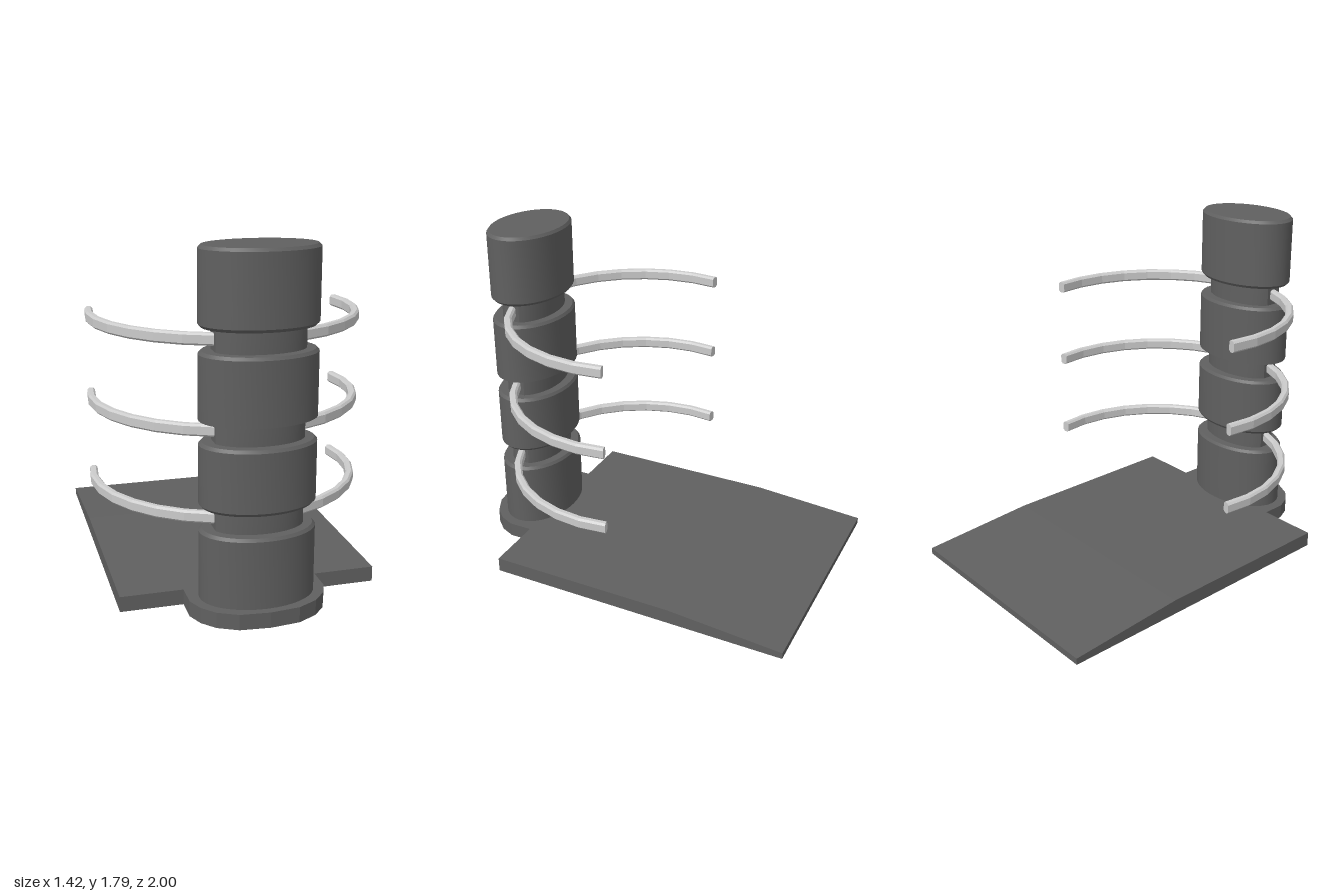
import * as THREE from 'three';
import { toCreasedNormals } from 'three/addons/utils/BufferGeometryUtils.js';

const COLUMN_Z = 0.765;
const dark = new THREE.MeshStandardMaterial({ color: 0x606060 });
const darkFlat = new THREE.MeshStandardMaterial({ color: 0x606060, flatShading: true });
const light = new THREE.MeshStandardMaterial({ color: 0xcccccc, flatShading: true, side: THREE.DoubleSide });

function add(parent, name, geometry, material) {
  const mesh = new THREE.Mesh(geometry, material);
  mesh.name = name;
  parent.add(mesh);
  return mesh;
}

const shapeOf = (points) => new THREE.Shape(points.map(([x, y]) => new THREE.Vector2(x, y)));

// Oval drum with bevelled rims
function drumGeometry(y0, y1, bottomBevel) {
  const r = 0.29, b = 0.015;
  const profile = [[0, y0]];
  if (bottomBevel) profile.push([r - b, y0], [r, y0 + b]);
  else profile.push([r, y0]);
  profile.push([r, y1 - b], [r - b, y1], [0, y1]);
  const geometry = new THREE.LatheGeometry(profile.map(([x, y]) => new THREE.Vector2(x, y)), 40);
  geometry.scale(1, 1, 0.195 / r);
  return toCreasedNormals(geometry, 0.5);
}

// Narrower oval neck with its two sides cut flat
function neckGeometry(y0, y1) {
  const geometry = new THREE.CylinderGeometry(1, 1, y1 - y0, 40);
  geometry.scale(0.232, 1, 0.138);
  const p = geometry.attributes.position;
  for (let i = 0; i < p.count; i++) p.setX(i, THREE.MathUtils.clamp(p.getX(i), -0.22, 0.22));
  geometry.translate(0, (y0 + y1) / 2, 0);
  return toCreasedNormals(geometry, 0.3);
}

// Curved arm: a bevelled bar swept along an arc, closed at both ends
function makeArm(name, startDegrees) {
  const arm = new THREE.Group();
  arm.name = name;
  const R = 0.69, w = 0.02, h = 0.03, c = 0.01;
  const section = [
    [R - w + c, -h], [R + w - c, -h], [R + w, -h + c], [R + w, h - c],
    [R + w - c, h], [R - w + c, h], [R - w, h - c], [R - w, -h + c],
  ];
  const start = THREE.MathUtils.degToRad(startDegrees);
  const sweep = THREE.MathUtils.degToRad(84);
  const loop = [...section, section[0]].map(([x, y]) => new THREE.Vector2(x, y));
  add(arm, 'armBar', new THREE.LatheGeometry(loop, 7, start, sweep), light);
  for (const angle of [start, start + sweep]) {
    add(arm, 'armEnd', new THREE.ShapeGeometry(shapeOf(section)), light).rotation.y = angle - Math.PI / 2;
  }
  return arm;
}

export function createModel() {
  const model = new THREE.Group();
  model.name = 'rackStand';

  // Base plate, thinning towards the back
  const width = 1.33;
  const plate = new THREE.ExtrudeGeometry(
    shapeOf([[-1, 0], [0.66, 0], [0.66, 0.08], [-0.37, 0.08], [-1, 0.035]]),
    { depth: width, bevelEnabled: false });
  plate.translate(0, 0, -width / 2);
  plate.rotateY(-Math.PI / 2);
  add(model, 'basePlate', plate, darkFlat);

  // Rounded foot in front of the plate, under the column
  const side = [[0.345, 0.66], [0.345, 0.79], [0.31, 0.87], [0.25, 0.935], [0.15, 0.985]];
  const outline = [...side, [0, 1], ...side.map(([x, z]) => [-x, z]).reverse()];
  const foot = new THREE.ExtrudeGeometry(shapeOf(outline.map(([x, z]) => [x, -z])),
    { depth: 0.08, bevelEnabled: false });
  foot.rotateX(-Math.PI / 2);
  add(model, 'baseFoot', foot, darkFlat);

  // Column of drums joined by necks
  const column = new THREE.Group();
  column.name = 'column';
  column.position.z = COLUMN_Z;
  model.add(column);
  const drums = [[0.07, 0.44, false], [0.55, 0.875, true], [0.98, 1.31, false], [1.42, 1.795, true]];
  drums.forEach(([y0, y1, bevel], i) => {
    add(column, 'drum', drumGeometry(y0, y1, bevel), dark);
    if (i > 0) add(column, 'neck', neckGeometry(drums[i - 1][1] - 0.01, y0 + 0.01), dark);
  });

  // Three pairs of arms reaching back from the necks
  for (const y of [0.495, 0.93, 1.365]) {
    const pair = new THREE.Group();
    pair.name = 'armPair';
    pair.position.set(0, y, 0.11);
    pair.add(makeArm('leftArm', 18), makeArm('rightArm', -102));
    model.add(pair);
  }
  return model;
}
